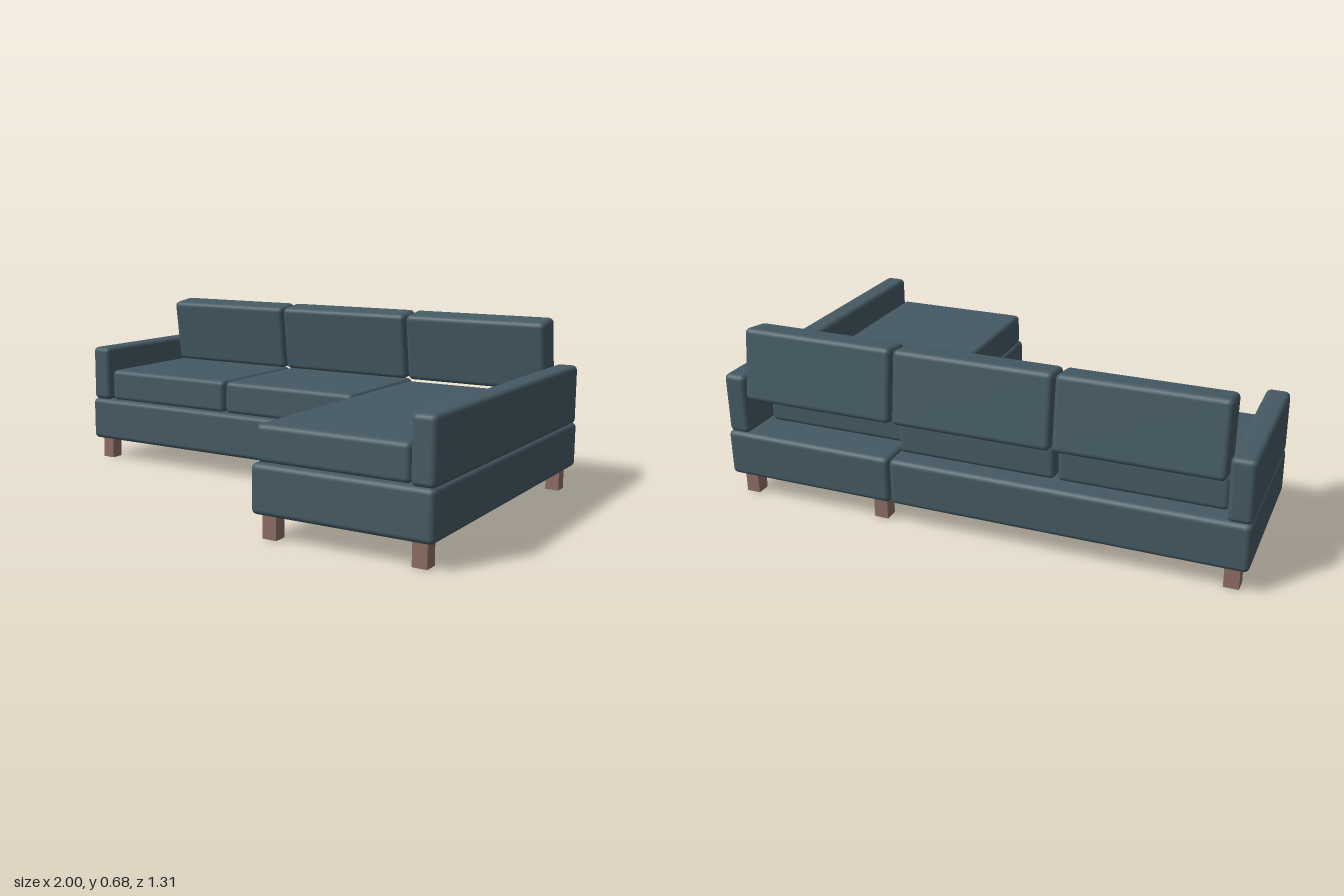
import * as THREE from 'three';
import { RoundedBoxGeometry } from 'three/addons/geometries/RoundedBoxGeometry.js';

export function createModel() {
  const model = new THREE.Group();
  model.name = 'cornerSofa';
  const fabric = new THREE.MeshStandardMaterial({ color: 0x455a64 });
  fabric.name = 'slate fabric';
  const wood = new THREE.MeshStandardMaterial({ color: 0x8d6e63 });
  wood.name = 'brown wood';

  // Rounded upholstered block given by its [min, max] on each axis
  function block(name, [x0, x1], [y0, y1], [z0, z1], radius = 0.02) {
    const geometry = new RoundedBoxGeometry(x1 - x0, y1 - y0, z1 - z0, 3, radius);
    const mesh = new THREE.Mesh(geometry, fabric);
    mesh.position.set((x0 + x1) / 2, (y0 + y1) / 2, (z0 + z1) / 2);
    mesh.name = name;
    model.add(mesh);
    return mesh;
  }

  // Bases of the sofa and the long chaise
  const baseY = [0.088, 0.267];
  block('sofaBase', [-1, 0.317], baseY, [-0.656, -0.025]);
  block('chaiseBase', [0.32, 1], baseY, [-0.656, 0.656]);

  // Armrests
  const armY = [0.263, 0.496];
  block('rightArm', [-1, -0.912], armY, [-0.648, -0.034]);
  block('leftArm', [0.91, 0.998], armY, [-0.648, 0.648]);

  // Seat cushions
  const seatY = [0.263, 0.397];
  block('seatCushion', [-0.907, -0.303], seatY, [-0.58, -0.052]);
  block('seatCushion', [-0.293, 0.311], seatY, [-0.58, -0.052]);
  block('chaiseCushion', [0.323, 0.902], seatY, [-0.505, 0.628]);

  // Back cushions, tilted towards the seat
  for (const x of [-0.607, -0.002, 0.604]) {
    const cushion = block('backCushion', [x - 0.299, x + 0.299],
      [0.4, 0.676], [-0.641, -0.518]);
    cushion.rotation.x = 0.139;
  }

  // Square wooden legs
  const legGeometry = new THREE.BoxGeometry(0.054, 0.09, 0.054);
  for (const [x, z] of [
    [-0.94, -0.59], [-0.94, -0.082], [0.378, -0.59],
    [0.378, 0.597], [0.94, -0.59], [0.94, 0.597],
  ]) {
    const leg = new THREE.Mesh(legGeometry, wood);
    leg.position.set(x, 0.045, z);
    leg.name = 'leg';
    model.add(leg);
  }

  return model;
}
